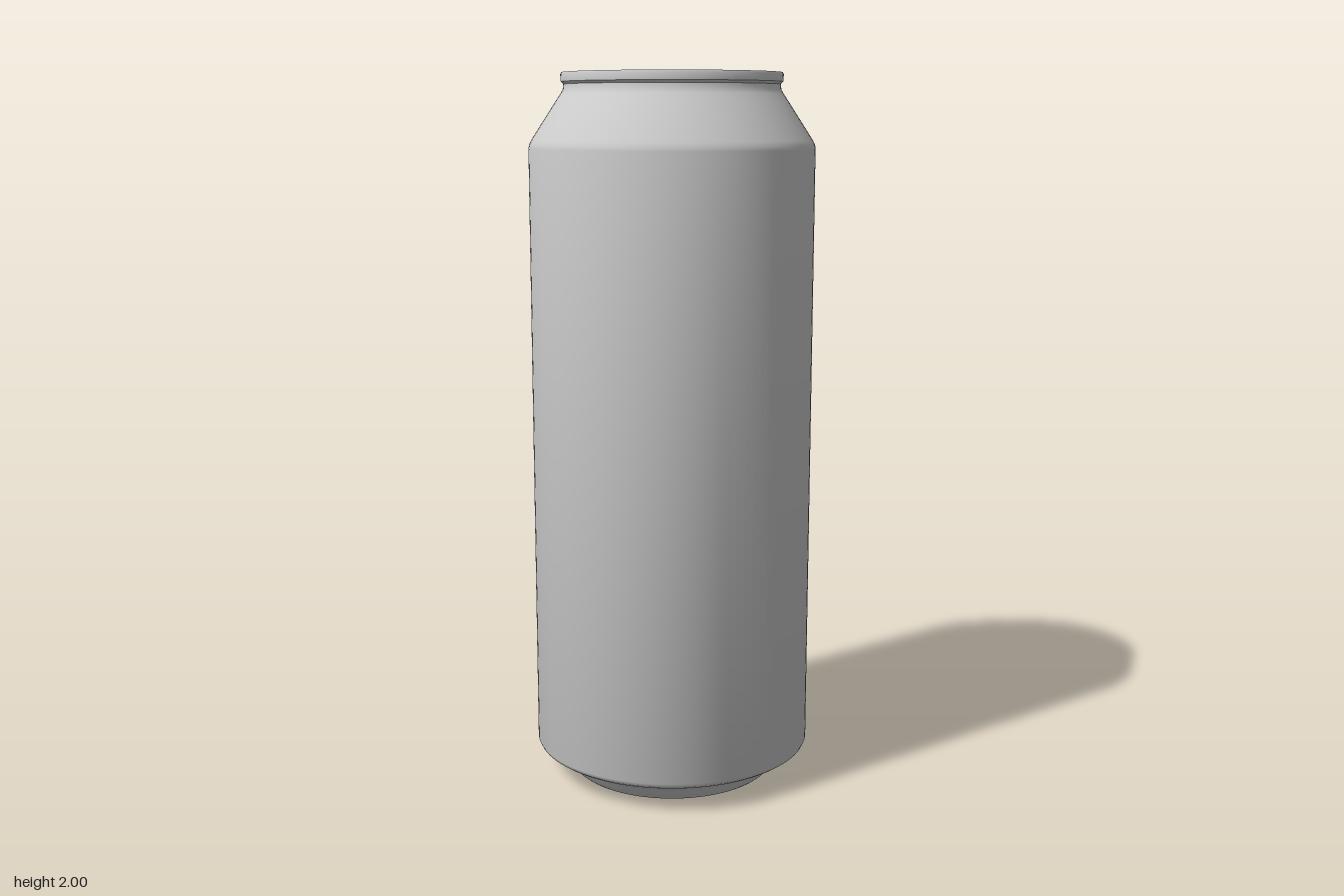
import * as THREE from 'three';
import { toCreasedNormals } from 'three/addons/utils/BufferGeometryUtils.js';

const LID_Y = 1.97, FLOOR_Y = 1.957;

// Closed smooth outline from half of it, given as [x, z] from back to front and mirrored in x
function outline(half, divisions = 96) {
  const mirrored = half.slice(1, -1).reverse().map(([x, z]) => [-x, z]);
  const pts = [...half, ...mirrored].map(([x, z]) => new THREE.Vector3(x, -z, 0));
  return new THREE.CatmullRomCurve3(pts, true).getPoints(divisions).slice(0, -1)
    .map((p) => new THREE.Vector2(p.x, p.y));
}

function ellipse(cz, rx, rz) {
  return new THREE.Path().absellipse(0, -cz, rx, rz, 0, Math.PI * 2);
}

export function createModel() {
  const can = new THREE.Group();
  can.name = 'drinkCan';
  const aluminium = new THREE.MeshStandardMaterial({ color: 0xcccccc });
  aluminium.name = 'aluminium';

  function add(name, geometry, y = 0, parent = can) {
    const mesh = new THREE.Mesh(geometry, aluminium);
    mesh.name = name;
    mesh.position.y = y;
    parent.add(mesh);
    return mesh;
  }

  // Horizontal flat face
  const sheet = (shape) => new THREE.ShapeGeometry(shape, 64).rotateX(-Math.PI / 2);

  // Horizontal plate with a softened edge
  function plate(points, height, bevel, holes = []) {
    const shape = new THREE.Shape(points);
    shape.holes.push(...holes);
    const geometry = new THREE.ExtrudeGeometry(shape, {
      depth: height - bevel, bevelThickness: bevel, bevelSize: bevel,
      bevelOffset: -bevel, bevelSegments: 2, curveSegments: 32,
    }).rotateX(-Math.PI / 2);
    return toCreasedNormals(geometry, 0.6);
  }

  // Shell: domed base, foot, wall, shoulder, neck, rim and the groove inside it
  const profile = [];
  for (let i = 0; i <= 10; i++) {
    const a = (i / 10) * Math.PI / 2;
    profile.push([0.275 * Math.sin(a), 0.004 + 0.1 * Math.cos(a)]);
  }
  profile.push(
    [0.279, 0], [0.289, 0], [0.296, 0.006], [0.312, 0.03], [0.325, 0.046], [0.34, 0.053],
    [0.38, 0.071], [0.391, 0.079], [0.396, 0.09],
    [0.396, 1.795], [0.394, 1.806], [0.388, 1.818], [0.318, 1.925], [0.306, 1.943], [0.3, 1.953],
    [0.298, 1.968], [0.305, 1.975], [0.306, 1.994], [0.303, 2], [0.3, 1.998],
    [0.297, 1.985], [0.294, 1.967], [0.289, 1.963], [0.281, 1.963], [0.277, 1.957],
    [0.272, 1.957], [0.27, 1.968], [0.266, LID_Y],
  );
  const shell = new THREE.LatheGeometry(profile.map(([r, y]) => new THREE.Vector2(r, y)), 96);
  add('canShell', toCreasedNormals(shell, 0.6));

  // Lid face with a teardrop opening for the recess
  const outer = outline([
    [0, -0.235], [0.05, -0.218], [0.085, -0.16], [0.124, -0.03], [0.16, 0.07],
    [0.158, 0.145], [0.1, 0.21], [0, 0.232],
  ]);
  const inner = outer.map((p) => new THREE.Vector2(p.x * 0.9, (p.y + 0.03) * 0.93 - 0.03));
  const lid = new THREE.Shape().absarc(0, 0, 0.266, 0, Math.PI * 2);
  lid.holes.push(new THREE.Path(outer));
  add('lidFace', sheet(lid), LID_Y);
  add('recessFloor', sheet(new THREE.Shape(inner)), FLOOR_Y);

  // Sloping wall of the recess
  const positions = [], index = [], n = outer.length;
  for (let i = 0; i < n; i++) {
    positions.push(outer[i].x, LID_Y, -outer[i].y, inner[i].x, FLOOR_Y, -inner[i].y);
    const o = 2 * i, next = 2 * ((i + 1) % n);
    index.push(o, o + 1, next, next, o + 1, next + 1);
  }
  const wall = new THREE.BufferGeometry();
  wall.setAttribute('position', new THREE.Float32BufferAttribute(positions, 3));
  wall.setIndex(index);
  wall.computeVertexNormals();
  add('recessWall', wall);

  // Tear panel with its raised centre
  add('mouthPanel', plate(outline([
    [0, 0.01], [0.06, 0.015], [0.105, 0.036], [0.137, 0.09], [0.133, 0.15],
    [0.085, 0.203], [0, 0.22],
  ]), 0.003, 0.001), FLOOR_Y);
  add('mouthBead', plate(outline([
    [0, 0.095], [0.045, 0.084], [0.075, 0.06], [0.1, 0.06], [0.113, 0.11],
    [0.105, 0.17], [0.065, 0.203], [0, 0.211],
  ]), 0.006, 0.002), FLOOR_Y);

  // Pull tab with finger hole and rivet tongue
  const tab = new THREE.Group();
  tab.name = 'pullTab';
  tab.position.y = FLOOR_Y + 0.003;
  can.add(tab);
  add('tabPlate', plate(outline([
    [0, -0.195], [0.05, -0.183], [0.078, -0.14], [0.085, -0.06], [0.084, 0],
    [0.055, 0.048], [0, 0.065],
  ]), 0.012, 0.003, [ellipse(-0.135, 0.058, 0.039), ellipse(-0.02, 0.055, 0.055)]), 0, tab);
  add('rivetTongue', plate(outline([
    [0, -0.048], [0.022, -0.036], [0.027, -0.015], [0.025, 0.006], [0.042, 0.018],
    [0.028, 0.033], [0, 0.037],
  ]), 0.006, 0.001), 0, tab);
  const rivet = new THREE.CylinderGeometry(0.014, 0.018, 0.01, 32);
  add('rivet', rivet, 0.006, tab).position.z = -0.02;

  return can;
}
